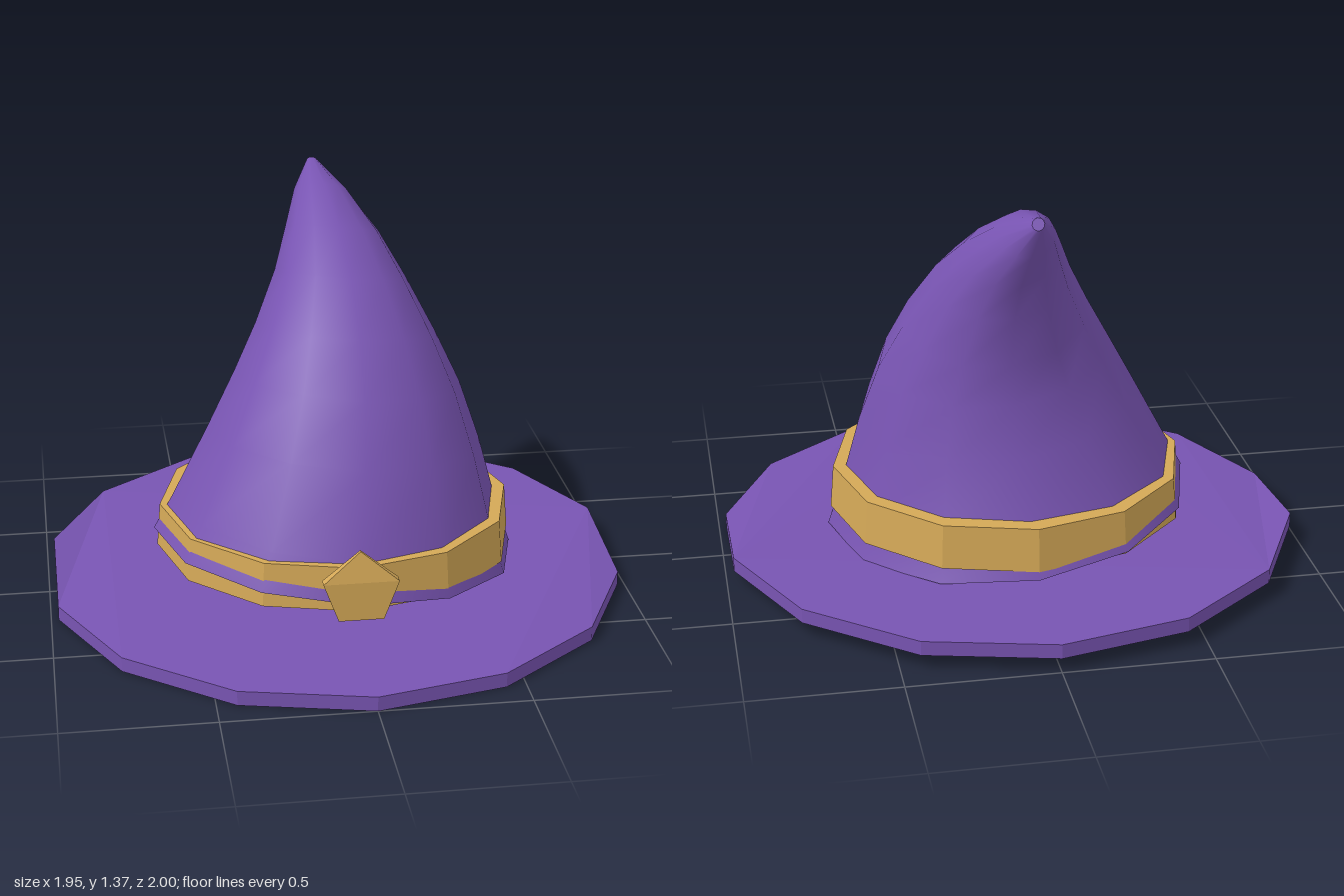
import * as THREE from 'three';

const purple = new THREE.MeshStandardMaterial({ color: 0x7854b2 });
purple.name = 'purple felt';
const gold = new THREE.MeshStandardMaterial({ color: 0xd4a857 });
gold.name = 'gold trim';

function build(points, faces) {
  const g = new THREE.BufferGeometry();
  g.setAttribute('position', new THREE.Float32BufferAttribute(points.flat(), 3));
  g.setIndex(faces.flat());
  g.computeVertexNormals();
  return g;
}

function faceted(geometry) {
  const g = geometry.toNonIndexed();
  g.computeVertexNormals();
  return g;
}

function add(parent, name, geometry, material) {
  const m = new THREE.Mesh(geometry, material);
  m.name = name;
  parent.add(m);
  return m;
}

// Fourteen-sided slab whose back half sits one step higher than its front half
function brimGeometry() {
  const n = 14, t = 0.05, points = [], faces = [];
  for (const y of [0, t]) {
    for (let i = 0; i < n; i++) {
      const a = (i / n) * Math.PI * 2;
      points.push([Math.sin(a), y + (i >= 4 && i <= 10 ? 0.05 : 0), Math.cos(a)]);
    }
  }
  const fan = (order) => {
    for (let i = 1; i < order.length - 1; i++) {
      const [a, b, c] = [order[0], order[i], order[i + 1]];
      faces.push([a + n, b + n, c + n], [a, c, b]);
    }
  };
  fan([9, 10, 11, 12, 13, 0, 4, 5, 6, 7, 8]);
  fan([4, 0, 1, 2, 3]);
  for (let i = 0; i < n; i++) {
    const j = (i + 1) % n;
    faces.push([i, j, j + n], [i, j + n, i + n]);
  }
  return faceted(build(points, faces));
}

// Each ring: front z, front y, back z, back y, centre x, half width
const RINGS = [
  [0.63, 0.185, -0.63, 0.135, 0, 0.63],
  [0.578, 0.31, -0.56, 0.27, 0.01, 0.573],
  [0.45, 0.58, -0.48, 0.5, 0.04, 0.475],
  [0.33, 0.78, -0.445, 0.68, 0.057, 0.393],
  [0.2, 0.95, -0.44, 0.82, 0.06, 0.315],
  [0.03, 1.11, -0.465, 0.99, 0.055, 0.23],
  [-0.17, 1.23, -0.51, 1.12, 0.043, 0.165],
  [-0.37, 1.33, -0.56, 1.23, 0.02, 0.095],
  [-0.58, 1.37, -0.605, 1.335, 0.005, 0.02],
];
const SIDES = 12;

function ringPoints([fz, fy, bz, by, cx, w]) {
  return Array.from({ length: SIDES }, (_, i) => {
    const a = (i / SIDES) * Math.PI * 2, c = Math.cos(a), s = Math.sin(a);
    return [
      cx + s * w,
      (fy + by) / 2 + (c * (fy - by)) / 2 - s * w * 0.1,
      (fz + bz) / 2 + (c * (fz - bz)) / 2,
    ];
  });
}

// Smooth bent cone lofted through the tilted rings
function crownGeometry() {
  const points = RINGS.flatMap(ringPoints), faces = [];
  for (let k = 0; k < RINGS.length - 1; k++) {
    for (let i = 0; i < SIDES; i++) {
      const j = (i + 1) % SIDES, lo = k * SIDES, hi = lo + SIDES;
      faces.push([lo + i, lo + j, hi + j], [lo + i, hi + j, hi + i]);
    }
  }
  return build(points, faces);
}

function capGeometry(ring, up) {
  const faces = [];
  for (let i = 1; i < SIDES - 1; i++) faces.push(up ? [0, i, i + 1] : [0, i + 1, i]);
  return build(ringPoints(ring), faces);
}

// Pentagonal plate with its top corner leaning back
function buckleGeometry() {
  const outline = [[0, 0.38], [-0.125, 0.278], [-0.075, 0.145], [0.075, 0.145], [0.125, 0.278]];
  const points = [
    ...outline.map(([x, y]) => [x, y, 0.618]),
    ...outline.map(([x, y], i) => [x, y, i === 0 ? 0.63 : 0.653]),
  ];
  const faces = [];
  for (const [a, b, c] of [[0, 1, 4], [1, 2, 3], [1, 3, 4]]) {
    faces.push([a + 5, b + 5, c + 5], [a, c, b]);
  }
  for (let i = 0; i < 5; i++) {
    const j = (i + 1) % 5;
    faces.push([i, j, j + 5], [i, j + 5, i + 5]);
  }
  return faceted(build(points, faces));
}

export function createModel() {
  const hat = new THREE.Group();
  hat.name = 'pointedHat';

  add(hat, 'brim', brimGeometry(), purple);

  const crown = new THREE.Group();
  crown.name = 'crown';
  hat.add(crown);
  add(crown, 'crownSide', crownGeometry(), purple);
  add(crown, 'crownBase', capGeometry(RINGS[0], false), purple);
  add(crown, 'crownTip', capGeometry(RINGS[RINGS.length - 1], true), purple);

  // Level twelve-sided band around the tilted crown
  const band = add(hat, 'band', faceted(new THREE.CylinderGeometry(0.608, 0.62, 0.15, SIDES)), gold);
  band.position.y = 0.235;

  add(hat, 'buckle', buckleGeometry(), gold);
  return hat;
}
